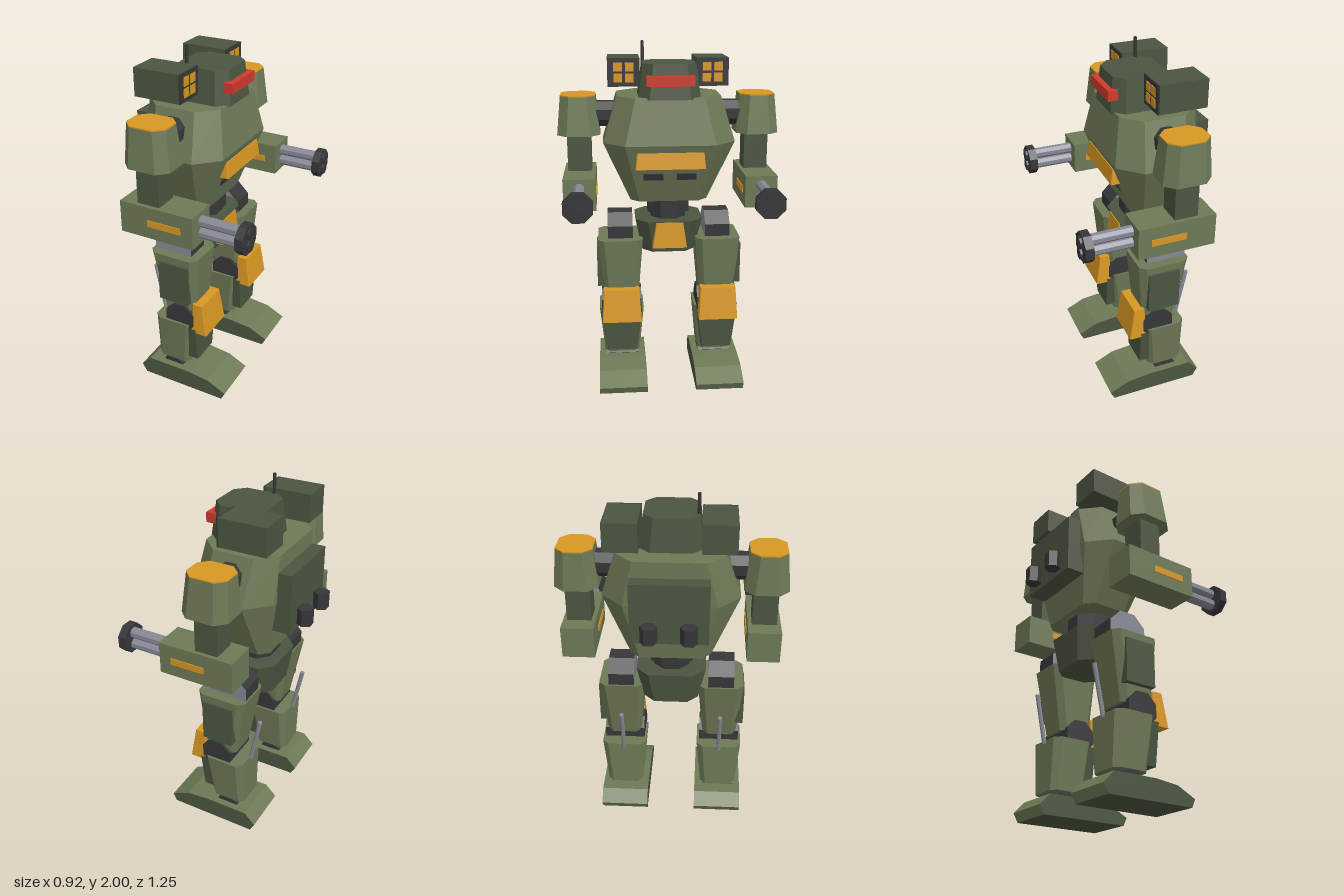
import * as THREE from 'three';

const paint = (name, color) => {
  const m = new THREE.MeshStandardMaterial({ color });
  m.name = name;
  return m;
};

export function createModel() {
  const olive = paint('olive', 0x6d7956);
  const darkGreen = paint('dark green', 0x4b5540);
  const gold = paint('gold', 0xd89722);
  const charcoal = paint('charcoal', 0x37373a);
  const steel = paint('steel', 0x868995);
  const red = paint('red', 0xcf3a2e);

  const model = new THREE.Group();
  model.name = 'walkerRobot';

  const add = (parent, name, geo, mat, x = 0, y = 0, z = 0) => {
    const g = geo.index ? geo.toNonIndexed() : geo;
    g.computeVertexNormals();
    const mesh = new THREE.Mesh(g, mat);
    mesh.name = name;
    mesh.position.set(x, y, z);
    parent.add(mesh);
    return mesh;
  };

  // Box given by its extents in x and y, centred on z with a width
  const block = (parent, name, mat, x0, x1, y0, y1, z, w) =>
    add(parent, name, new THREE.BoxGeometry(x1 - x0, y1 - y0, w), mat, (x0 + x1) / 2, (y0 + y1) / 2, z);

  // Armour shell: stacked chamfered rectangles [y, x0, x1, half width, chamfer], listed upwards
  const loft = (parent, name, mat, z, sections) => {
    const rings = sections.map(([y, x0, x1, h, c]) => [
      [x1, y, c - h], [x1, y, h - c], [x1 - c, y, h], [x0 + c, y, h],
      [x0, y, h - c], [x0, y, c - h], [x0 + c, y, -h], [x1 - c, y, -h],
    ]);
    const pos = [];
    const tri = (...pts) => pts.forEach((p) => pos.push(...p));
    const top = rings[rings.length - 1];
    for (let i = 0; i < 8; i++) {
      const j = (i + 1) % 8;
      for (let k = 0; k + 1 < rings.length; k++) {
        const lo = rings[k], hi = rings[k + 1];
        tri(lo[i], hi[i], lo[j]);
        tri(lo[j], hi[i], hi[j]);
      }
      if (i > 0 && i < 7) {
        tri(rings[0][0], rings[0][i], rings[0][j]);
        tri(top[0], top[j], top[i]);
      }
    }
    const geo = new THREE.BufferGeometry();
    geo.setAttribute('position', new THREE.Float32BufferAttribute(pos, 3));
    return add(parent, name, geo, mat, 0, 0, z);
  };

  // Faceted cylinder along an axis, with flats facing the sides
  const drum = (parent, name, mat, axis, r, len, sides, x, y, z) => {
    const geo = new THREE.CylinderGeometry(r, r, len, sides);
    if (sides === 8) geo.rotateY(Math.PI / 8);
    if (axis === 'x') geo.rotateZ(-Math.PI / 2);
    if (axis === 'z') geo.rotateX(Math.PI / 2);
    return add(parent, name, geo, mat, x, y, z);
  };

  // Torso and waist
  loft(model, 'torso', olive, 0, [
    [1.11, -0.255, 0.04, 0.22, 0.05],
    [1.455, -0.305, 0.165, 0.37, 0.12],
    [1.71, -0.31, 0.12, 0.29, 0.1],
  ]);
  drum(model, 'waistRing', charcoal, 'y', 0.13, 0.09, 8, -0.09, 1.07, 0);
  drum(model, 'waistJoint', charcoal, 'y', 0.11, 0.08, 8, -0.09, 1.0, 0);
  loft(model, 'chestVisor', gold, 0, [
    [1.325, 0.08, 0.168, 0.195, 0.004],
    [1.415, 0.08, 0.156, 0.185, 0.004],
  ]);
  for (const s of [1, -1]) {
    const slot = block(model, 'chestSlot', charcoal, 0.06, 0.106, 1.255, 1.295, s * 0.093, 0.11);
    slot.rotation.z = -0.35;
  }

  // Pelvis
  loft(model, 'pelvis', darkGreen, 0, [
    [0.8, -0.235, 0.035, 0.155, 0.06],
    [0.995, -0.26, 0.075, 0.195, 0.07],
  ]);
  loft(model, 'pelvisPlate', gold, 0, [
    [0.84, 0.02, 0.09, 0.1, 0.004],
    [0.99, 0.02, 0.08, 0.078, 0.004],
  ]);

  // Head
  loft(model, 'head', darkGreen, 0, [
    [1.7, -0.2, 0.135, 0.172, 0.06],
    [1.89, -0.18, 0.115, 0.146, 0.055],
  ]);
  block(model, 'eyeBand', red, 0.1, 0.155, 1.775, 1.83, 0, 0.26);
  drum(model, 'antenna', charcoal, 'y', 0.009, 0.2, 6, -0.105, 1.9, 0.14);

  // Backpack and exhausts
  block(model, 'backpack', darkGreen, -0.385, -0.25, 1.28, 1.62, 0, 0.415);
  for (const s of [1, -1]) drum(model, 'exhaust', charcoal, 'y', 0.046, 0.095, 6, -0.42, 1.357, s * 0.104);

  const buildArm = (s) => {
    const arm = new THREE.Group();
    arm.name = s > 0 ? 'armPlusZ' : 'armMinusZ';
    const z = s * 0.505;
    drum(arm, 'shoulderJoint', charcoal, 'z', 0.075, 0.16, 8, -0.09, 1.6, s * 0.35);
    loft(arm, 'shoulder', olive, z, [
      [1.49, -0.225, 0.04, 0.12, 0.055],
      [1.705, -0.215, 0.015, 0.098, 0.05],
    ]);
    loft(arm, 'shoulderCap', gold, z, [
      [1.705, -0.215, 0.015, 0.098, 0.05],
      [1.711, -0.215, 0.015, 0.098, 0.05],
    ]);
    block(arm, 'upperArm', darkGreen, -0.16, -0.03, 1.26, 1.52, z, 0.135);
    block(arm, 'forearm', olive, -0.255, 0.175, 1.1, 1.28, z, 0.18);
    block(arm, 'forearmStripe', gold, -0.09, 0.105, 1.17, 1.207, z, 0.19);
    // Twin barrels held by a muzzle clamp
    for (const d of [0.033, -0.033]) {
      drum(arm, 'barrel', steel, 'x', 0.031, 0.26, 8, 0.295, 1.195 + d, z);
      drum(arm, 'muzzle', charcoal, 'x', 0.033, 0.02, 8, 0.45, 1.195 + d, z);
    }
    drum(arm, 'muzzleClamp', charcoal, 'x', 0.085, 0.045, 8, 0.425, 1.195, z);
    return arm;
  };

  const buildPod = (s) => {
    const pod = new THREE.Group();
    pod.name = 'rocketPod';
    const z = s * 0.248;
    block(pod, 'podBody', darkGreen, -0.305, -0.038, 1.755, 1.91, z, 0.18);
    block(pod, 'podFace', charcoal, -0.038, -0.03, 1.755, 1.91, z, 0.18);
    for (const dy of [-0.03, 0.03])
      for (const dz of [-0.032, 0.032])
        block(pod, 'podCell', gold, -0.031, -0.026, 1.809 + dy, 1.857 + dy, z + dz, 0.048);
    return pod;
  };

  const footShape = new THREE.Shape([
    [-0.27, 0], [0.25, 0], [0.272, 0.045], [0.16, 0.1],
    [0.02, 0.115], [-0.235, 0.115], [-0.298, 0.05],
  ].map(([x, y]) => new THREE.Vector2(x, y)));

  const buildLeg = (s) => {
    const leg = new THREE.Group();
    leg.name = s > 0 ? 'legPlusZ' : 'legMinusZ';
    const z = s * 0.284;
    drum(leg, 'hip', [charcoal, steel, steel], 'z', 0.124, 0.145, 8, -0.09, 0.91, z);
    loft(leg, 'thigh', olive, z, [
      [0.5, -0.145, 0.05, 0.1, 0.03],
      [0.885, -0.215, 0.08, 0.13, 0.035],
    ]);
    block(leg, 'thighPlate', darkGreen, -0.15, 0.035, 0.595, 0.84, s * 0.395, 0.055);
    drum(leg, 'knee', charcoal, 'z', 0.096, 0.235, 8, -0.035, 0.475, z);
    loft(leg, 'kneeGuard', gold, z, [
      [0.4, 0.04, 0.138, 0.115, 0.004],
      [0.59, 0.045, 0.108, 0.104, 0.004],
    ]);
    loft(leg, 'shin', olive, z, [
      [0.15, -0.2, 0.01, 0.105, 0.03],
      [0.445, -0.2, 0.05, 0.132, 0.035],
    ]);
    loft(leg, 'shinPlate', darkGreen, z, [
      [0.19, -0.02, 0.068, 0.088, 0.004],
      [0.42, 0.0, 0.072, 0.118, 0.004],
    ]);
    // Piston leaning behind the knee
    const rod = drum(leg, 'piston', steel, 'y', 0.013, 0.29, 8, -0.228, 0.568, z);
    rod.rotation.z = 0.2;
    drum(leg, 'ankle', charcoal, 'z', 0.07, 0.2, 8, -0.095, 0.09, z);
    const foot = new THREE.ExtrudeGeometry(footShape, { depth: 0.28, bevelEnabled: false });
    foot.translate(0, 0, -0.14);
    add(leg, 'foot', foot, [darkGreen, olive], 0, 0, z);
    block(leg, 'sole', darkGreen, -0.27, 0.25, 0, 0.004, z, 0.28).position.y = 0.001;
    return leg;
  };

  for (const s of [1, -1]) model.add(buildArm(s), buildPod(s), buildLeg(s));
  return model;
}
